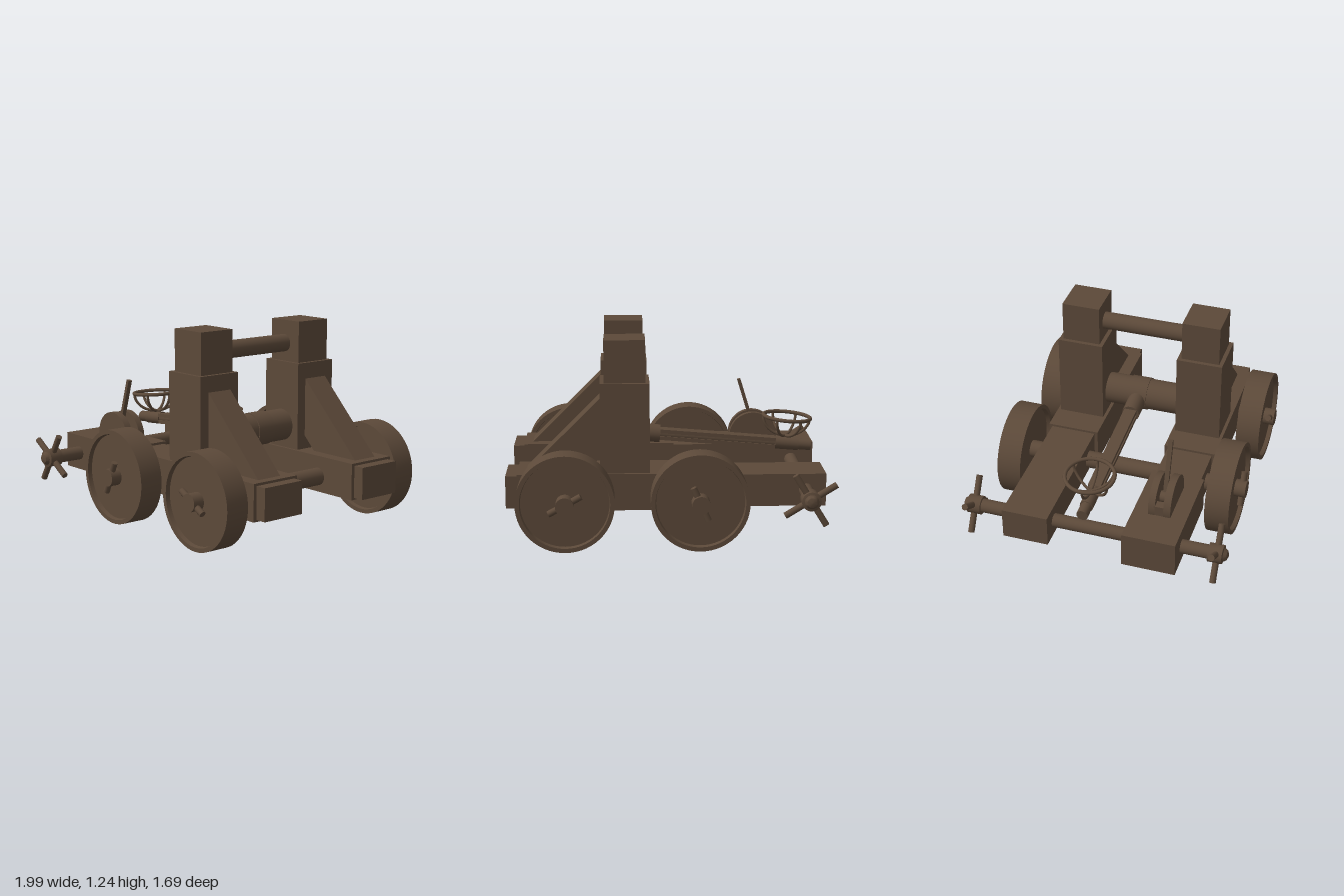
import * as THREE from 'three';
import { toCreasedNormals } from 'three/addons/utils/BufferGeometryUtils.js';

const wood = new THREE.MeshStandardMaterial({ color: 0x5c4939 });
const MID = -0.02; // middle of the chassis in z

export function createModel() {
  const root = new THREE.Group();
  root.name = 'catapult';

  const add = (name, geo, parent = root) => {
    const m = new THREE.Mesh(geo, wood);
    m.name = name;
    parent.add(m);
    return m;
  };
  // Box from its min and max on each axis
  const box = (name, x0, x1, y0, y1, z0, z1, parent) => {
    const m = add(name, new THREE.BoxGeometry(x1 - x0, y1 - y0, z1 - z0), parent);
    m.position.set((x0 + x1) / 2, (y0 + y1) / 2, (z0 + z1) / 2);
    return m;
  };
  // Round bar along z
  const barZ = (name, x, y, z0, z1, r, parent) => {
    const m = add(name, new THREE.CylinderGeometry(r, r, z1 - z0, 28).rotateX(Math.PI / 2), parent);
    m.position.set(x, y, (z0 + z1) / 2);
    return m;
  };
  // Round bar along x
  const barX = (name, x0, x1, r, parent, sides = 20) => {
    const m = add(name, new THREE.CylinderGeometry(r, r, x1 - x0, sides).rotateZ(Math.PI / 2), parent);
    m.position.x = (x0 + x1) / 2;
    return m;
  };

  // Side frames: rail, sleeve, tower, cap and brace
  const brace = new THREE.Shape();
  [[0.41, 0.9], [0.875, 0.435], [0.875, 0.42], [0.525, 0.42], [0.41, 0.535]]
    .forEach(([x, y], i) => (i ? brace.lineTo(x, y) : brace.moveTo(x, y)));
  for (const zc of [0.377, -0.411]) {
    const f = new THREE.Group();
    f.name = zc > 0 ? 'leftFrame' : 'rightFrame';
    f.position.z = zc;
    root.add(f);
    box('rail', -0.95, 1, 0.22, 0.42, -0.145, 0.145, f);
    box('railSleeve', -0.05, 0.93, 0.208, 0.435, -0.167, 0.167, f);
    box('tower', 0.125, 0.425, 0.42, 0.985, -0.147, 0.147, f);
    box('towerCap', 0.15, 0.4, 0.98, 1.245, -0.122, 0.122, f);
    const b = add('brace', new THREE.ExtrudeGeometry(brace, { depth: 0.17, bevelEnabled: false }), f);
    b.position.z = -0.085;
  }
  box('frontRailSleeve', -0.97, -0.315, 0.208, 0.435, 0.21, 0.544);

  // Wheels with a sunken disc inside a raised rim
  const wheelProfile = [[0, -0.05], [0.265, -0.05], [0.27, -0.077], [0.296, -0.077],
    [0.296, 0.077], [0.27, 0.077], [0.265, 0.05], [0, 0.05]].map(p => new THREE.Vector2(...p));
  const wheelGeo = toCreasedNormals(new THREE.LatheGeometry(wheelProfile, 56).rotateX(Math.PI / 2), 0.6);
  for (const [x, angle] of [[-0.172, 1.15], [0.635, -0.5]]) {
    barZ('axle', x, 0.305, -0.84, 0.787, 0.055);
    for (const s of [1, -1]) {
      add('wheel', wheelGeo).position.set(x, 0.302, MID + s * 0.685);
      const pin = add('axlePin', new THREE.CylinderGeometry(0.02, 0.02, 0.22, 14).rotateZ(Math.PI / 2));
      pin.position.set(x, 0.305, MID + s * 0.779);
      pin.rotation.z = angle;
    }
  }

  // Winch shaft with crossed handles at both ends
  barZ('winchShaft', -0.827, 0.318, -0.82, 0.8, 0.043);
  const hubProfile = [[0, -0.05], [0.058, -0.05], [0.058, 0.038], [0.043, 0.042], [0.03, 0.062], [0, 0.072]]
    .map(p => new THREE.Vector2(...p));
  const hubGeo = toCreasedNormals(new THREE.LatheGeometry(hubProfile, 24).rotateX(Math.PI / 2), 0.6);
  for (const s of [1, -1]) {
    const g = new THREE.Group();
    g.name = 'winchHandle';
    g.position.set(-0.827, 0.318, MID / 2 + s * 0.775);
    root.add(g);
    add('hub', hubGeo, g).rotation.y = s > 0 ? 0 : Math.PI;
    for (const a of [-0.55, 1.02]) {
      barX('spoke', -0.18, 0.18, 0.02, g, 14).rotation.z = a;
    }
  }

  // Release lever between two half-round cheeks
  for (const z of [[0.305, 0.347], [0.4, 0.445]]) {
    const c = barZ('leverCheek', -0.582, 0.46, ...z, 0.155);
    c.geometry = new THREE.CylinderGeometry(0.155, 0.155, z[1] - z[0], 48).rotateX(Math.PI / 2);
  }
  for (const x of [-0.705, -0.458]) box('cheekSpacer', x - 0.028, x + 0.028, 0.42, 0.5, 0.34, 0.405);
  barZ('leverPivot', -0.6, 0.48, 0.34, 0.405, 0.035);
  const lever = box('lever', -0.011, 0.011, 0, 0.37, -0.014, 0.014);
  lever.position.set(-0.545, 0.655, 0.374);
  lever.rotation.z = -0.3;

  // Cross bars between the towers
  barZ('topCrossBar', 0.267, 1.1, -0.32, 0.3, 0.055);
  barZ('torsionRoller', 0.277, 0.578, -0.3, 0.26, 0.1);
  barZ('rollerCollar', 0.277, 0.578, -0.113, 0.013, 0.106);

  // Throwing arm, slightly lowered at the basket end
  const arm = new THREE.Group();
  arm.name = 'throwingArm';
  arm.position.set(0.277, 0.582, -0.05);
  arm.rotation.z = 0.085;
  root.add(arm);
  barX('armSocket', -0.23, -0.05, 0.057, arm);
  barX('armShaft', -1.1, -0.2, 0.034, arm, 12);
  barX('armSleeve', -1.12, -0.97, 0.042, arm);
  barX('armTip', -1.2, -1.11, 0.036, arm);
  for (const s of [1, -1]) {
    const strip = box('armStrip', -0.97, -0.22, -0.012, 0.012, -0.04, 0.04, arm);
    strip.position.y = s * 0.022;
  }

  // Basket: rim and crossed curved ribs
  const basket = new THREE.Group();
  basket.name = 'basket';
  basket.position.set(-1.03, 0.173, 0);
  arm.add(basket);
  add('rim', new THREE.TorusGeometry(0.15, 0.012, 10, 48).rotateX(Math.PI / 2), basket);
  const ribPath = new THREE.CatmullRomCurve3(Array.from({ length: 13 }, (_, i) => {
    const a = Math.PI * i / 12;
    return new THREE.Vector3(-0.15 * Math.cos(a), -0.125 * Math.sin(a), 0);
  }));
  const ribGeo = new THREE.TubeGeometry(ribPath, 32, 0.009, 8);
  for (let i = 0; i < 3; i++) add('rib', ribGeo, basket).rotation.y = i * Math.PI / 3;

  return root;
}
